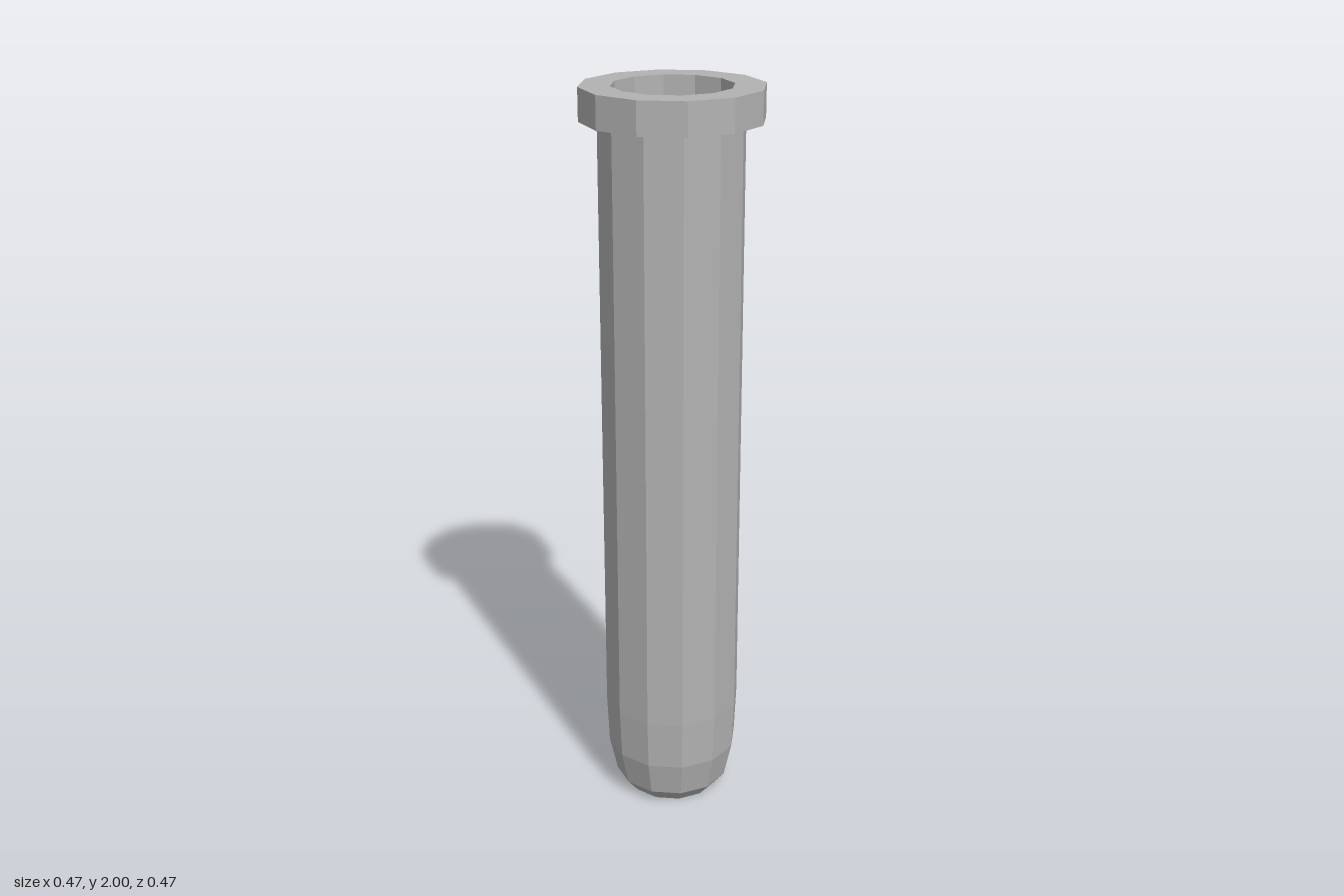
import * as THREE from 'three';

const SIDES = 12;

// Faceted solid of revolution from [radius, height] pairs
function turned(name, profile, material) {
  const points = profile.map(([r, y]) => new THREE.Vector2(r, y));
  const geometry = new THREE.LatheGeometry(points, SIDES).toNonIndexed();
  geometry.computeVertexNormals(); // flat facets
  const mesh = new THREE.Mesh(geometry, material);
  mesh.name = name;
  return mesh;
}

export function createModel() {
  const glass = new THREE.MeshStandardMaterial({ color: 0xb2b2b2 });
  glass.name = 'grey glass';
  const blue = new THREE.MeshStandardMaterial({ color: 0x37aac1 });
  blue.name = 'blue liquid';

  const group = new THREE.Group();
  group.name = 'testTube';

  // Hollow tube: outer wall going up, inner wall going back down
  const tube = turned('tube', [
    [0, 0], [0.127, 0], [0.16, 0.04], [0.182, 0.14], [0.188, 0.28], [0.188, 1.93],
    [0.156, 1.93], [0.156, 0.28], [0.15, 0.16], [0.128, 0.07], [0.1, 0.04], [0, 0.04],
  ], glass);

  // Raised lip around the mouth
  const rim = turned('rim', [
    [0.156, 1.915], [0.236, 1.915], [0.236, 2], [0.156, 2], [0.156, 1.915],
  ], glass);

  // Liquid filling the lower part of the tube
  const liquid = turned('liquid', [
    [0, 0.05], [0.096, 0.05], [0.124, 0.08], [0.146, 0.17], [0.153, 0.29], [0.153, 1.3], [0, 1.3],
  ], blue);

  // The tube and its liquid sit very slightly off the rim's centre
  tube.position.x = -0.002;
  liquid.position.x = -0.004;

  group.add(tube, rim, liquid);
  return group;
}
